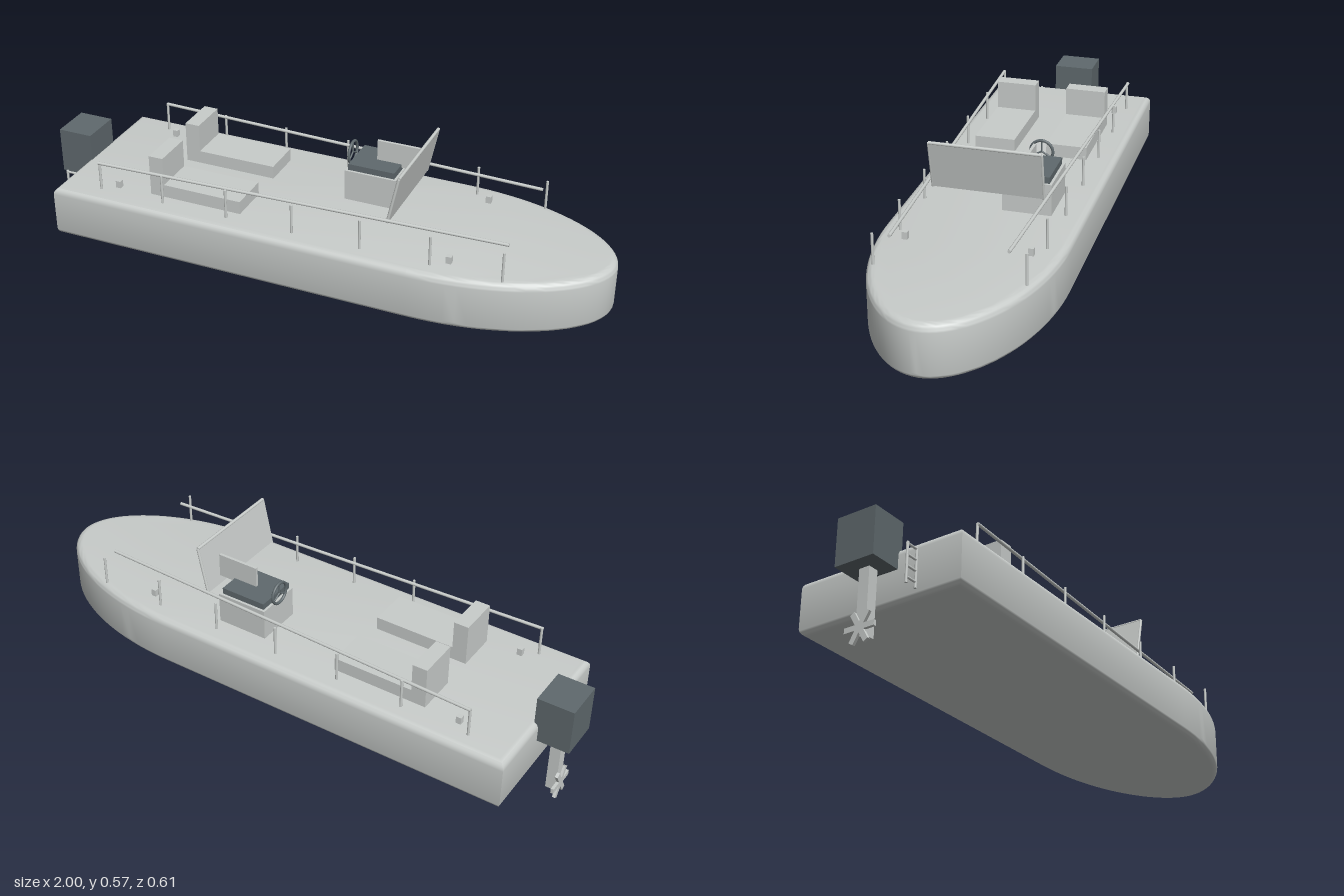
import * as THREE from 'three';
import { toCreasedNormals } from 'three/addons/utils/BufferGeometryUtils.js';

const light = new THREE.MeshStandardMaterial({ color: 0xc8ccca });
light.name = 'light grey';
const dark = new THREE.MeshStandardMaterial({ color: 0x5f696d });
dark.name = 'dark slate';

function add(parent, name, geometry, material, x = 0, y = 0, z = 0) {
  const mesh = new THREE.Mesh(geometry, material);
  mesh.name = name;
  mesh.position.set(x, y, z);
  parent.add(mesh);
  return mesh;
}

// Box given by its minimum and maximum corners
function box(parent, name, material, [x0, y0, z0], [x1, y1, z1]) {
  return add(parent, name, new THREE.BoxGeometry(x1 - x0, y1 - y0, z1 - z0), material,
    (x0 + x1) / 2, (y0 + y1) / 2, (z0 + z1) / 2);
}

// Round bar between two points
function bar(parent, name, material, a, b, radius) {
  const from = new THREE.Vector3(...a), to = new THREE.Vector3(...b);
  const dir = to.clone().sub(from);
  const mesh = add(parent, name, new THREE.CylinderGeometry(radius, radius, dir.length(), 12), material);
  mesh.position.copy(from).add(to).multiplyScalar(0.5);
  mesh.quaternion.setFromUnitVectors(new THREE.Vector3(0, 1, 0), dir.normalize());
  return mesh;
}

function group(parent, name) {
  const g = new THREE.Group();
  g.name = name;
  parent.add(g);
  return g;
}

function buildHull(boat) {
  // Deck plan with a rounded bow, extruded upward with rounded edges
  const r = 0.025, w = 0.303 - r, stern = -0.89 + r, bow = 1 - r;
  const plan = new THREE.Shape();
  plan.moveTo(stern, -w);
  plan.lineTo(0.4, -w);
  plan.bezierCurveTo(0.74, -w, bow, -0.125, bow, 0);
  plan.bezierCurveTo(bow, 0.125, 0.74, w, 0.4, w);
  plan.lineTo(stern, w);
  plan.closePath();
  const geo = new THREE.ExtrudeGeometry(plan, {
    depth: 0.184 - 2 * r, bevelThickness: r, bevelSize: r, bevelSegments: 6, curveSegments: 24,
  });
  geo.rotateX(-Math.PI / 2);
  add(boat, 'hull', toCreasedNormals(geo, 0.6), light, 0, 0.137 + r, 0);
}

function buildSide(boat, s) {
  // Guard rail: posts in a straight row, top rail angled inward to the bow
  const rail = group(boat, s > 0 ? 'nearRail' : 'farRail');
  bar(rail, 'topRail', light, [-0.738, 0.422, s * 0.242], [0.695, 0.422, s * 0.185], 0.0055);
  for (let i = 0; i < 7; i++) {
    const x = -0.735 + i * 0.2385;
    bar(rail, 'railPost', light, [x, 0.315, s * 0.239], [x, 0.425, s * 0.239], 0.0045);
  }
  // Mooring cleats
  for (const x of [-0.685, 0.51]) {
    box(boat, 'cleat', light, [x - 0.009, 0.315, s * 0.203 - 0.009], [x + 0.009, 0.346, s * 0.203 + 0.009]);
  }
  // Bench seat with backrest
  const seat = group(boat, 'seat');
  const z0 = Math.min(s * 0.058, s * 0.202), z1 = z0 + 0.144;
  box(seat, 'seatCushion', light, [-0.51, 0.315, z0], [-0.225, 0.367, z1]);
  box(seat, 'seatBack', light, [-0.562, 0.315, z0], [-0.51, 0.467, z1]);
}

function buildHelm(boat) {
  const helm = group(boat, 'helm');
  const z = -0.113;
  box(helm, 'console', light, [0.054, 0.315, z - 0.082], [0.237, 0.43, z + 0.082]);
  box(helm, 'dashboard', dark, [0.063, 0.43, z - 0.073], [0.228, 0.452, z + 0.073]);
  box(helm, 'consoleScreen', light, [0.14, 0.44, z - 0.005], [0.29, 0.524, z + 0.005]);

  // Steering wheel with three spokes
  const wheel = group(helm, 'steeringWheel');
  wheel.position.set(0.05, 0.46, z);
  wheel.rotation.y = Math.PI / 2;
  add(wheel, 'wheelRim', new THREE.TorusGeometry(0.038, 0.005, 10, 32), dark);
  for (let i = 0; i < 3; i++) {
    const a = Math.PI / 2 + i * Math.PI * 2 / 3;
    bar(wheel, 'wheelSpoke', dark, [0, 0, 0], [Math.cos(a) * 0.038, Math.sin(a) * 0.038, 0], 0.003);
  }

  // Windshield leaning toward the bow
  const shield = group(boat, 'windshield');
  shield.position.set(0.309, 0.489, 0);
  shield.rotation.z = -0.21;
  add(shield, 'windshieldPane', new THREE.BoxGeometry(0.009, 0.165, 0.368), light);
  bar(shield, 'windshieldTopFrame', light, [0, 0.083, -0.184], [0, 0.083, 0.184], 0.0055);
  for (const s of [-1, 1]) {
    bar(shield, 'windshieldSideFrame', light, [0, -0.086, s * 0.184], [0, 0.083, s * 0.184], 0.005);
  }
}

function buildStern(boat) {
  // Outboard motor
  const motor = group(boat, 'outboardMotor');
  box(motor, 'motorCover', dark, [-1, 0.25, -0.072], [-0.875, 0.413, 0.072]);
  box(motor, 'motorLeg', light, [-0.953, 0.028, -0.019], [-0.917, 0.25, 0.019]);
  const propeller = group(motor, 'propeller');
  propeller.position.set(-0.956, 0.055, 0);
  for (let i = 0; i < 3; i++) {
    const blade = add(propeller, 'propellerBlade', new THREE.BoxGeometry(0.01, 0.018, 0.11), light);
    blade.rotation.x = i * Math.PI / 3;
  }

  // Boarding ladder
  const ladder = group(boat, 'ladder');
  for (const x of [-0.935, -0.893]) {
    bar(ladder, 'ladderRail', light, [x, 0.165, 0.143], [x, 0.298, 0.143], 0.0045);
  }
  for (let i = 0; i < 4; i++) {
    const y = 0.185 + i * 0.036;
    bar(ladder, 'ladderRung', light, [-0.938, y, 0.143], [-0.885, y, 0.143], 0.004);
  }
}

export function createModel() {
  const boat = new THREE.Group();
  boat.name = 'motorBoat';
  buildHull(boat);
  for (const s of [-1, 1]) buildSide(boat, s);
  buildHelm(boat);
  buildStern(boat);
  return boat;
}
